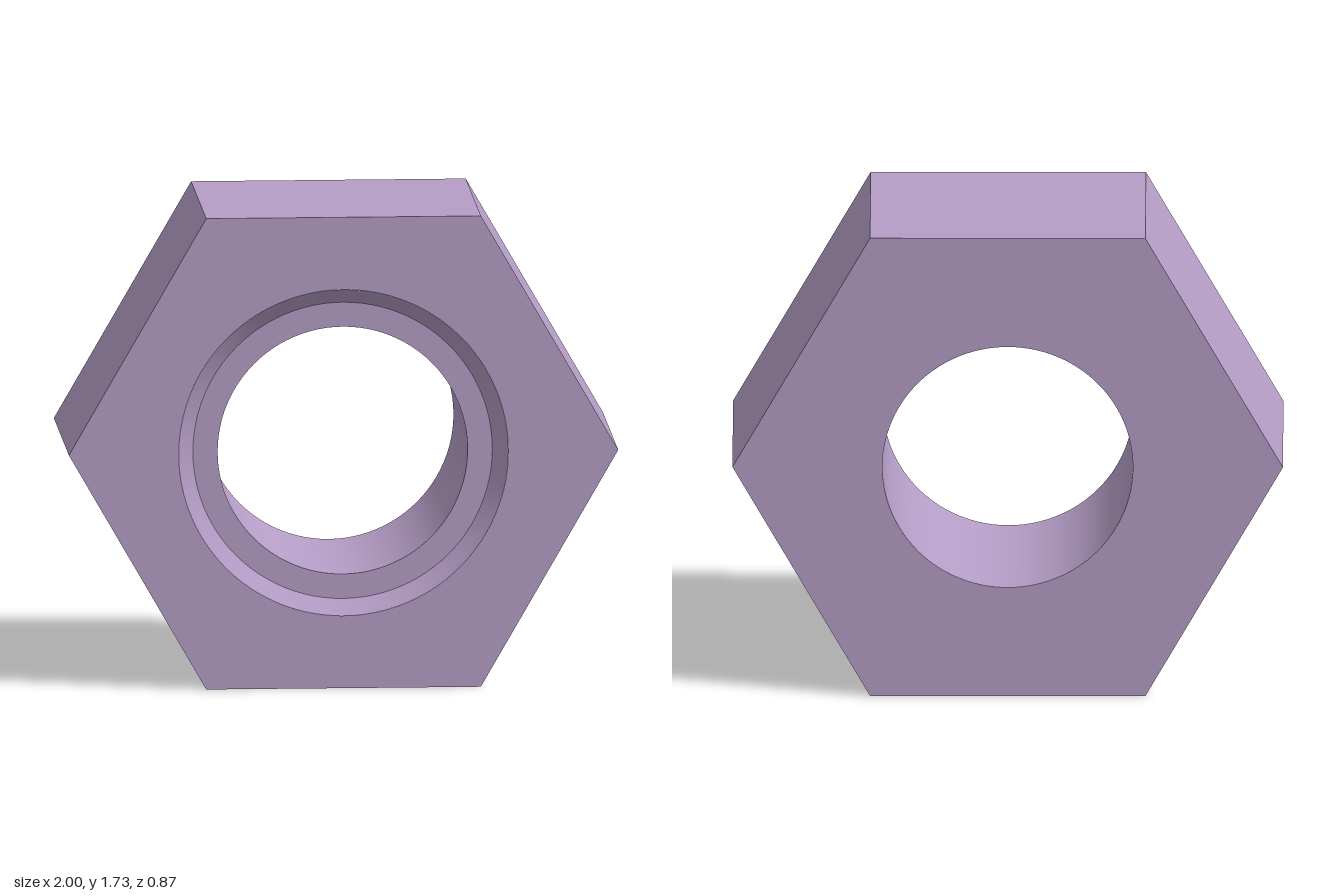
import * as THREE from 'three';

const HALF = 0.433;          // half thickness
const HEIGHT = Math.sqrt(3); // across the flats
const RIM = 0.6, SEAT = 0.545, BORE = 0.455;
const SEAT_Z = HALF - 0.055;
const SEGMENTS = 96;

// Hexagonal face with a round hole
function hexFace(holeRadius) {
  const corners = [];
  for (let i = 0; i < 6; i++) {
    const a = (i * Math.PI) / 3;
    corners.push(new THREE.Vector2(Math.cos(a), Math.sin(a)));
  }
  const shape = new THREE.Shape(corners);
  const hole = new THREE.Path();
  hole.absarc(0, 0, holeRadius, 0, Math.PI * 2, true);
  shape.holes.push(hole);
  return new THREE.ShapeGeometry(shape, SEGMENTS);
}

// Surface of revolution about z between two (radius, z) points
function ring(from, to) {
  const points = [new THREE.Vector2(...from), new THREE.Vector2(...to)];
  return new THREE.LatheGeometry(points, SEGMENTS).rotateX(Math.PI / 2);
}

export function createModel() {
  const nut = new THREE.Group();
  nut.name = 'hexNut';
  const smooth = new THREE.MeshStandardMaterial({ color: 0xb59dc6 });
  const flat = new THREE.MeshStandardMaterial({ color: 0xb59dc6, flatShading: true });

  const add = (name, geometry, material = smooth) => {
    const mesh = new THREE.Mesh(geometry, material);
    mesh.name = name;
    nut.add(mesh);
  };

  // Six flat sides
  add('hexSides', new THREE.CylinderGeometry(1, 1, HALF * 2, 6, 1, true, Math.PI / 6)
    .rotateX(Math.PI / 2), flat);

  // End faces
  add('frontFace', hexFace(RIM).translate(0, 0, HALF));
  add('backFace', hexFace(BORE).rotateY(Math.PI).translate(0, 0, -HALF));

  // Chamfered recess leading into the straight bore
  add('chamfer', ring([RIM, HALF], [SEAT, SEAT_Z]));
  add('recessSeat', ring([SEAT, SEAT_Z], [BORE, SEAT_Z]));
  add('bore', ring([BORE, SEAT_Z], [BORE, -HALF]));

  nut.position.y = HEIGHT / 2;
  const model = new THREE.Group();
  model.name = 'model';
  model.add(nut);
  return model;
}
